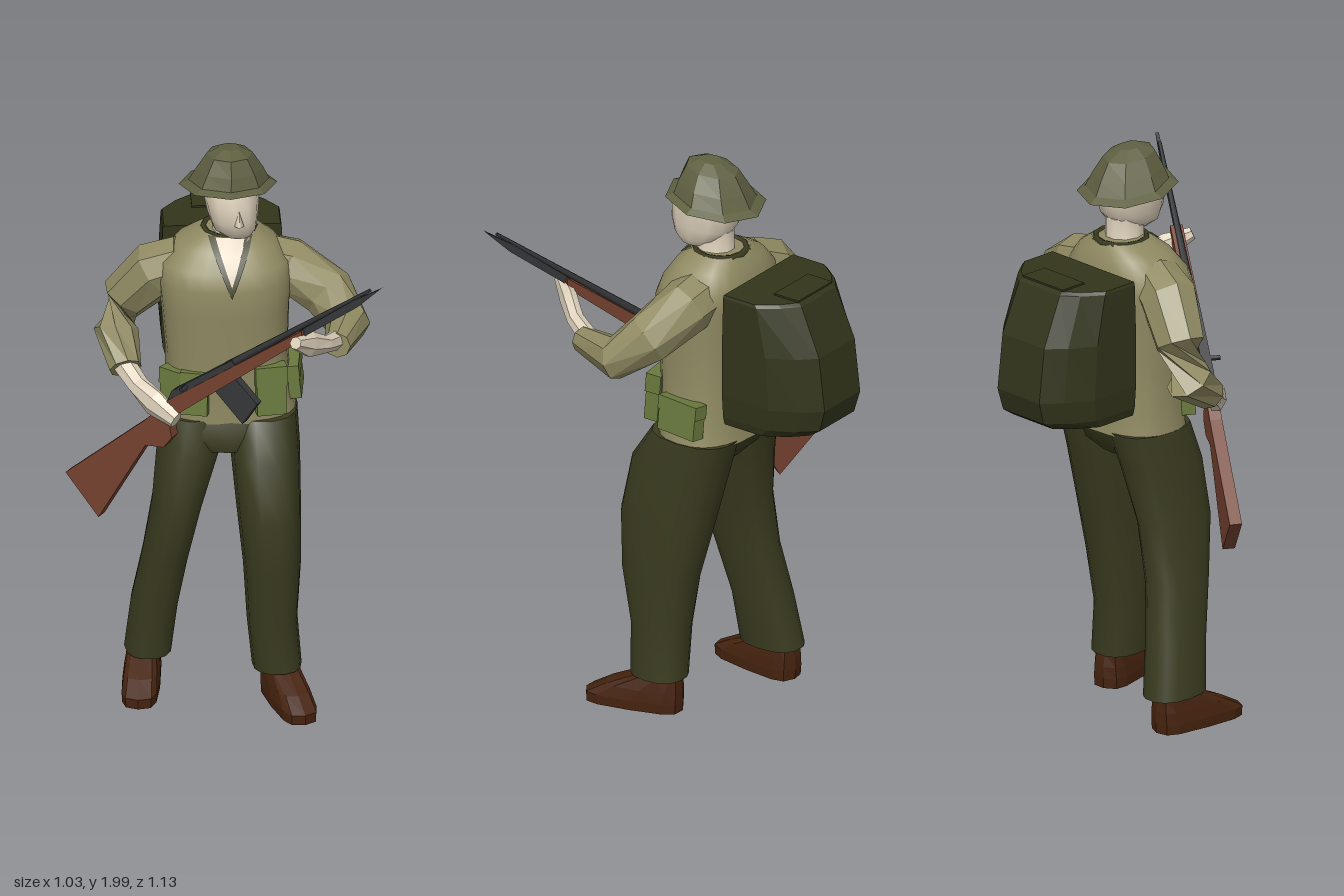
import * as THREE from 'three';

const mat = (name, color) => { const m = new THREE.MeshStandardMaterial({ color }); m.name = name; return m; };
const V = (x, y, z) => new THREE.Vector3(x, y, z);

// Horizontal superellipse ring: p = 2 is an ellipse, larger is boxier
function ring([x, y, z, rx, rz], n, p = 2, tilt = 0) {
  const pts = [];
  for (let i = 0; i < n; i++) {
    const t = (i / n) * Math.PI * 2, c = Math.cos(t), s = Math.sin(t);
    const dz = Math.sign(s) * Math.abs(s) ** (2 / p) * rz;
    pts.push(V(x + Math.sign(c) * Math.abs(c) ** (2 / p) * rx, y + dz * tilt, z + dz));
  }
  return pts;
}

// Skin through equal-sized rings, with capped ends
function loft(rings, flat = false) {
  const n = rings[0].length, pos = [], idx = [];
  const put = v => pos.push(v.x, v.y, v.z) / 3 - 1;
  rings.forEach(r => r.forEach(put));
  for (let j = 0; j < rings.length - 1; j++) for (let i = 0; i < n; i++) {
    const a = j * n + i, b = j * n + (i + 1) % n, c = a + n, d = b + n;
    idx.push(a, c, d, a, d, b);
  }
  [rings[0], rings[rings.length - 1]].forEach((r, end) => {
    const mid = put(r.reduce((s, v) => s.add(v), V(0, 0, 0)).divideScalar(n));
    const first = r.map(put)[0];
    for (let i = 0; i < n; i++) {
      const a = first + i, b = first + (i + 1) % n;
      if (end) idx.push(mid, b, a); else idx.push(mid, a, b);
    }
  });
  let g = new THREE.BufferGeometry();
  g.setAttribute('position', new THREE.Float32BufferAttribute(pos, 3));
  g.setIndex(idx);
  if (flat) g = g.toNonIndexed();
  g.computeVertexNormals();
  return g;
}

const stack = (rows, n, p, flat, tilt) => loft(rows.map(r => ring(r, n, p, tilt)), flat);

// Limb along a path of [x, y, z, radius, thickness]
function limb(path, n, flat) {
  const pts = path.map(p => V(p[0], p[1], p[2]));
  return loft(path.map((p, k) => {
    const dir = pts[Math.min(k + 1, pts.length - 1)].clone().sub(pts[Math.max(k - 1, 0)]).normalize();
    const e1 = V(0, 1, 0).addScaledVector(dir, -dir.y).normalize();
    const e2 = e1.clone().cross(dir);
    return Array.from({ length: n }, (_, i) => {
      const t = (i / n) * Math.PI * 2;
      return pts[k].clone().addScaledVector(e1, Math.cos(t) * p[3]).addScaledVector(e2, Math.sin(t) * (p[4] ?? p[3]));
    });
  }), flat);
}

function slab(points, depth) {
  const shape = new THREE.Shape(points.map(p => new THREE.Vector2(p[0], p[1])));
  return new THREE.ExtrudeGeometry(shape, { depth, bevelEnabled: false }).translate(0, 0, -depth / 2);
}

export function createModel() {
  const skin = mat('skin', 0xddd0ba), shirt = mat('khaki shirt', 0x908a62), trousers = mat('dark olive trousers', 0x3b3c20);
  const helmetGreen = mat('helmet green', 0x5f6041), packGreen = mat('pack green', 0x32341b), leather = mat('boot leather', 0x46230f);
  const wood = mat('rifle wood', 0x74412f), metal = mat('gun metal', 0x353638), canvas = mat('pouch green', 0x697a3d);
  const model = new THREE.Group();
  const add = (name, geo, material, parent = model) => {
    const m = new THREE.Mesh(geo, material);
    m.name = name;
    parent.add(m);
    return m;
  };

  // Shirt body
  const torso = [
    [0.03, 1.02, -0.055, 0.225, 0.155], [0.025, 1.1, -0.05, 0.212, 0.15], [0.02, 1.25, -0.045, 0.205, 0.155],
    [0.015, 1.42, -0.04, 0.215, 0.16], [0.015, 1.52, -0.04, 0.225, 0.168], [0.015, 1.58, -0.05, 0.215, 0.155],
    [0.02, 1.64, -0.06, 0.165, 0.125], [0.03, 1.68, -0.07, 0.095, 0.09]];
  add('shirt', stack(torso, 24, 2.5), shirt);

  // Open neckline: thin faces laid on the chest, w is the half width at the top
  const chestZ = (x, y) => {
    const k = Math.max(1, torso.findIndex(r => r[1] >= y)), a = torso[k - 1], b = torso[k];
    const f = (y - a[1]) / (b[1] - a[1]), [cx, , cz, rx, rz] = a.map((v, i) => v + (b[i] - v) * f);
    return cz + rz * (1 - Math.min(1, Math.abs((x - cx) / rx) ** 2.5)) ** 0.4;
  };
  const neckline = (w, low, lift) => {
    const g = new THREE.PlaneGeometry(2, 1, 4, 6), p = g.attributes.position;
    for (let i = 0; i < p.count; i++) {
      const f = p.getY(i) + 0.5, y = low + (1.68 - low) * f, x = 0.03 + p.getX(i) * w * f;
      p.setXYZ(i, x, y, chestZ(x, y) + lift);
    }
    g.computeVertexNormals();
    return g;
  };
  add('collarEdge', neckline(0.075, 1.5, 0.006), trousers);
  add('openNeck', neckline(0.05, 1.54, 0.01), skin);
  const collar = add('collar', new THREE.TorusGeometry(0.088, 0.012, 5, 12), trousers);
  collar.position.set(0.03, 1.675, -0.07);
  collar.rotation.x = Math.PI / 2;

  // Head and neck
  add('neck', stack([[0.035, 1.62, -0.055, 0.085, 0.08], [0.035, 1.68, -0.05, 0.062, 0.07], [0.035, 1.75, -0.05, 0.062, 0.07]], 10), skin);
  add('head', stack([
    [0.055, 1.69, 0.01, 0.045, 0.05], [0.045, 1.72, -0.0, 0.075, 0.09], [0.04, 1.76, -0.012, 0.085, 0.115],
    [0.035, 1.82, -0.018, 0.094, 0.125], [0.033, 1.88, -0.025, 0.095, 0.11]], 12, 2.3), skin);
  const nose = add('nose', new THREE.ConeGeometry(0.016, 0.055, 4), skin);
  nose.position.set(0.055, 1.785, 0.103);

  // Helmet with a brim that drops towards the back
  add('helmet', stack([
    [0.03, 1.86, -0.045, 0.1, 0.11], [0.025, 1.85, -0.045, 0.165, 0.175], [0.028, 1.865, -0.045, 0.135, 0.145],
    [0.03, 1.91, -0.04, 0.112, 0.125], [0.03, 1.965, -0.035, 0.078, 0.095], [0.03, 1.99, -0.03, 0.035, 0.04]], 8, 2, true, 0.12), helmetGreen);

  // Trousers
  add('hips', stack([[0.02, 0.92, -0.01, 0.12, 0.12], [0.025, 0.97, -0.03, 0.205, 0.15], [0.03, 1.04, -0.055, 0.215, 0.15]], 16, 2.4), trousers);
  add('rightTrouserLeg', stack([
    [-0.24, 0.12, -0.085, 0.08, 0.115], [-0.22, 0.3, -0.06, 0.08, 0.11], [-0.185, 0.5, -0.02, 0.078, 0.12],
    [-0.148, 0.7, 0.002, 0.084, 0.142], [-0.108, 0.9, -0.02, 0.106, 0.15], [-0.085, 1.03, -0.055, 0.11, 0.15]], 14, 2.4), trousers);
  add('leftTrouserLeg', stack([
    [0.182, 0.12, 0.072, 0.083, 0.098], [0.166, 0.3, 0.075, 0.085, 0.105], [0.166, 0.5, 0.075, 0.097, 0.142],
    [0.156, 0.7, 0.055, 0.108, 0.175], [0.146, 0.9, 0.01, 0.117, 0.18], [0.142, 1.03, -0.05, 0.115, 0.155]], 14, 2.4), trousers);

  // Boots
  [['rightBoot', -0.258, -0.07, -0.12], ['leftBoot', 0.2, 0.085, 0.28]].forEach(([name, x, z, turn]) => {
    const boot = add(name, stack([
      [0, 0, 0.065, 0.062, 0.17], [0, 0.035, 0.065, 0.064, 0.172], [0, 0.075, 0.03, 0.06, 0.135],
      [0, 0.12, -0.02, 0.052, 0.078], [0, 0.17, -0.02, 0.045, 0.06]], 12, 3.5, true), leather);
    boot.position.set(x, 0, z);
    boot.rotation.y = turn;
  });

  // Sleeves, forearms and hands
  add('rightSleeve', limb([
    [-0.12, 1.56, -0.06, 0.09], [-0.21, 1.52, -0.08, 0.1], [-0.31, 1.4, -0.125, 0.085],
    [-0.345, 1.28, -0.12, 0.085, 0.075], [-0.32, 1.19, 0.0, 0.055]], 8, true), shirt);
  add('rightHand', limb([
    [-0.335, 1.21, -0.03, 0.04], [-0.28, 1.155, 0.06, 0.036], [-0.23, 1.12, 0.12, 0.05, 0.035], [-0.16, 1.08, 0.18, 0.03, 0.025]], 7, true), skin);
  add('leftSleeve', limb([
    [0.12, 1.55, -0.07, 0.1], [0.23, 1.53, -0.07, 0.095], [0.36, 1.45, -0.01, 0.09],
    [0.42, 1.375, 0.08, 0.075], [0.375, 1.38, 0.25, 0.045]], 8, true), shirt);
  add('leftHand', limb([
    [0.385, 1.38, 0.2, 0.035], [0.33, 1.415, 0.31, 0.03], [0.275, 1.45, 0.38, 0.045, 0.03], [0.225, 1.49, 0.45, 0.022]], 7, true), skin);

  // Backpack: one outline narrowed at each level as [y, depth, width scale]
  const packOutline = [[0.205, 0], [0.205, 0.55], [0.155, 0.82], [0.1, 1], [-0.1, 1], [-0.155, 0.82], [-0.205, 0.55], [-0.205, 0]];
  add('backpack', loft([[1.13, 0.28, 0.93], [1.16, 0.325, 0.97], [1.24, 0.348, 1], [1.43, 0.325, 1], [1.6, 0.25, 0.97], [1.61, 0.235, 0.95]].map(
    ([y, d, w]) => packOutline.map(([x, f]) => V(0.015 + x * w, y, -0.215 - f * d)).reverse()), true), packGreen);
  const packFlap = add('backpackFlap', new THREE.BoxGeometry(0.19, 0.008, 0.1), packGreen);
  packFlap.position.set(0.015, 1.612, -0.4);

  // Belt pouches: [x, y, z, turn, width, height, lean]
  [[0.16, 1.145, 0.09, 0.15, 0.1, 0.17, 0.08], [0.245, 1.13, -0.065, Math.PI / 2 - 0.1, 0.16, 0.12, 0.12],
    [-0.09, 1.14, 0.09, -0.25, 0.09, 0.15, 0.08], [-0.16, 1.14, 0.05, -0.7, 0.08, 0.14, 0.05]].forEach(([x, y, z, turn, w, h, lean], i) => {
    const pouch = new THREE.Group();
    pouch.name = 'pouch' + (i + 1);
    pouch.position.set(x, y, z);
    pouch.rotation.set(-lean, turn, 0, 'YXZ');
    add('pouchBody', new THREE.BoxGeometry(w, h, 0.05), canvas, pouch);
    add('pouchFlap', new THREE.BoxGeometry(w + 0.008, h * 0.4, 0.056), canvas, pouch).position.y = h * 0.31;
    model.add(pouch);
  });

  // Rifle: local x runs to the muzzle, local y points to the sights
  const rifle = new THREE.Group();
  rifle.name = 'rifle';
  const along = V(0.683, 0.6, 0.416).normalize();
  const across = along.clone().cross(V(-0.5, 0.8, -0.33)).normalize();
  rifle.applyMatrix4(new THREE.Matrix4().makeBasis(along, across.clone().cross(along), across).setPosition(0, 1.29, 0.25));
  add('stock', slab([[-0.775, -0.045], [-0.755, -0.23], [-0.43, -0.09], [-0.37, -0.125], [-0.32, -0.11], [-0.29, -0.05],
    [0.36, -0.025], [0.38, 0.004], [-0.25, 0.008], [-0.38, -0.015]], 0.042), wood, rifle);
  add('receiver', slab([[-0.27, 0], [0.06, 0], [0.06, 0.026], [-0.22, 0.03]], 0.034), metal, rifle);
  add('magazine', slab([[-0.07, -0.02], [0.03, -0.02], [0.055, -0.145], [-0.04, -0.18]], 0.03), metal, rifle);
  add('barrel', new THREE.CylinderGeometry(0.006, 0.015, 0.68, 6).rotateZ(-Math.PI / 2).translate(0.36, 0.016, 0), metal, rifle);
  add('bayonet', slab([[0.36, -0.018], [0.62, -0.014], [0.745, 0.004], [0.62, 0.012], [0.36, 0.006]], 0.012), metal, rifle);
  add('bolt', new THREE.BoxGeometry(0.012, 0.012, 0.06), metal, rifle).position.set(-0.16, 0.02, 0.02);
  model.add(rifle);

  return model;
}
